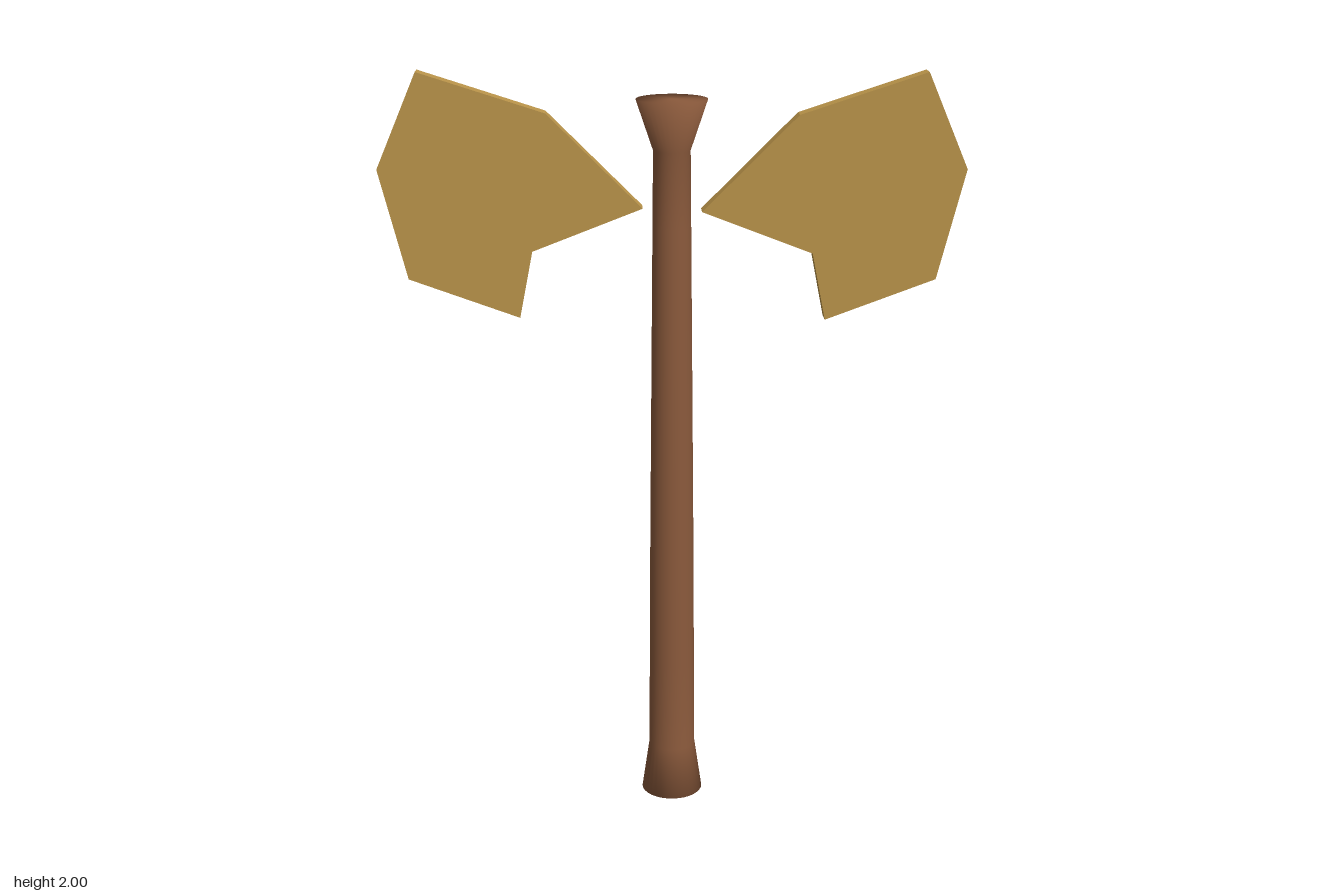
import * as THREE from 'three';

export function createModel() {
  const group = new THREE.Group();
  const wood = new THREE.MeshStandardMaterial({ name: 'brown wood', color: 0x8b5a3c });
  const brass = new THREE.MeshStandardMaterial({ name: 'dull gold', color: 0xba944a });

  // Tapered handle, flared at both ends, with softly rounded shading over the caps
  const profile = [
    [0, 0], [0.083, 0], [0.063, 0.14], [0.061, 0.39], [0.059, 0.69], [0.056, 1.0],
    [0.053, 1.3], [0.05, 1.6], [0.048, 1.8], [0.092, 1.93], [0, 1.93],
  ].map(([r, y]) => new THREE.Vector2(r, y));
  const handle = new THREE.Mesh(new THREE.LatheGeometry(profile, 32), wood);
  handle.name = 'handle';
  group.add(handle);

  // Flat angular blade, used twice with a half turn about the handle
  const outline = [
    [0.075, 1.65], [0.36, 1.54], [0.395, 1.365], [0.68, 1.47],
    [0.75, 1.755], [0.643, 2.0], [0.32, 1.895],
  ].map(([x, y]) => new THREE.Vector2(x, y));
  const bladeGeometry = new THREE.ExtrudeGeometry(new THREE.Shape(outline), {
    depth: 0.05, bevelEnabled: false,
  });
  for (const [name, turn] of [['leftBlade', 0], ['rightBlade', Math.PI]]) {
    const blade = new THREE.Mesh(bladeGeometry, brass);
    blade.name = name;
    blade.rotation.y = turn;
    group.add(blade);
  }
  return group;
}
